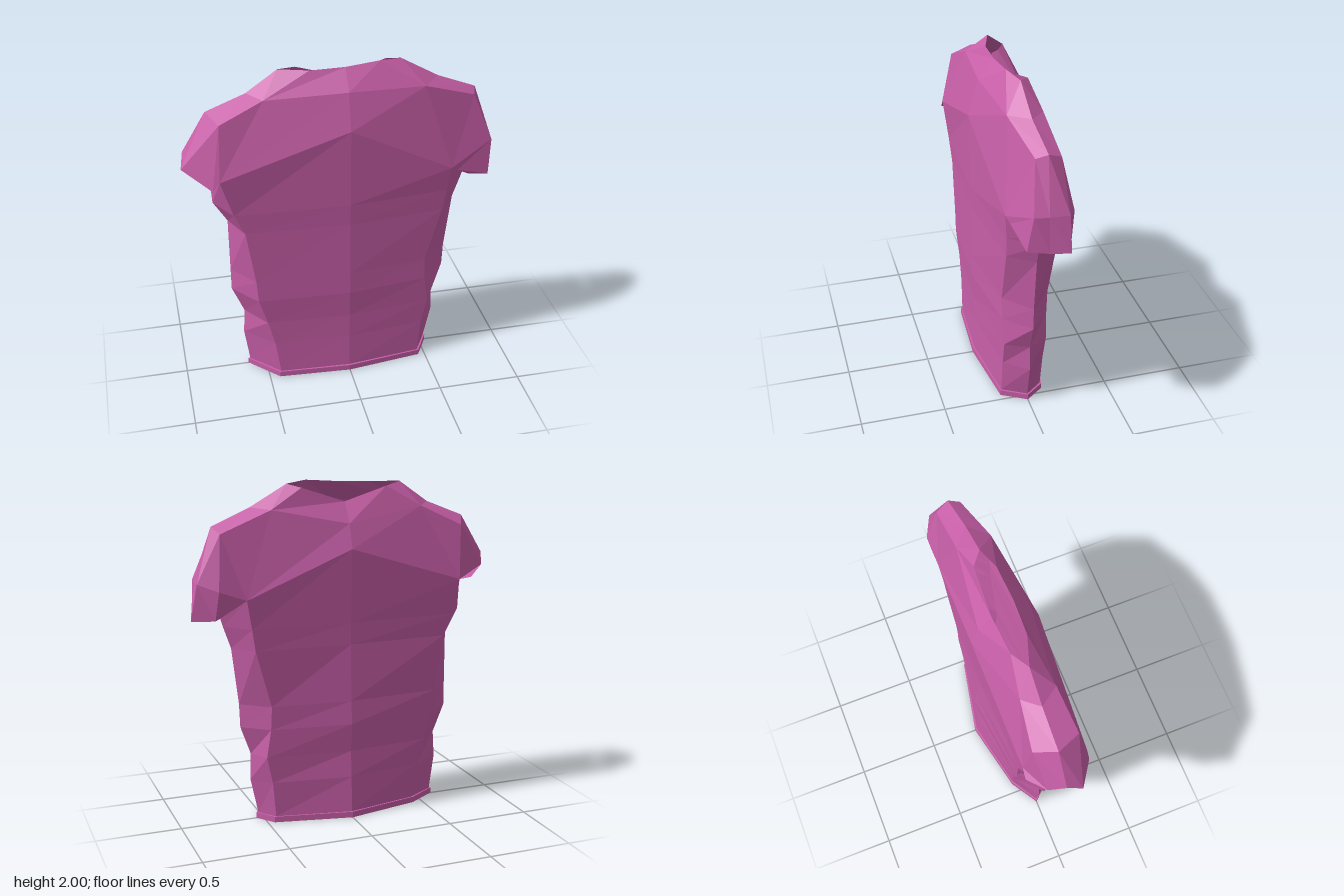
import * as THREE from 'three';

const v = (x, y, z) => new THREE.Vector3(x, y, z);
const pts = (list) => list.map((p) => v(...p));

// Joins neighbouring rows of points with quads; collapsed triangles are skipped.
function loft(rows, closed = false, extraTris = []) {
  const pos = [];
  const tri = (a, b, c) => {
    const area = b.clone().sub(a).cross(c.clone().sub(a)).length();
    if (area > 1e-6) for (const p of [a, b, c]) pos.push(p.x, p.y, p.z);
  };
  for (let r = 0; r < rows.length - 1; r++) {
    const lo = rows[r], hi = rows[r + 1], n = lo.length;
    for (let i = 0; i < (closed ? n : n - 1); i++) {
      const j = (i + 1) % n;
      tri(lo[i], lo[j], hi[j]);
      tri(lo[i], hi[j], hi[i]);
    }
  }
  for (const t of extraTris) tri(...t);
  const g = new THREE.BufferGeometry();
  g.setAttribute('position', new THREE.Float32BufferAttribute(pos, 3));
  g.computeVertexNormals();
  return g;
}

export function createModel() {
  const group = new THREE.Group();
  group.name = 'shirt';
  const cloth = new THREE.MeshStandardMaterial({
    color: 0xc85fa8, flatShading: true, side: THREE.DoubleSide,
  });
  const add = (name, geometry) => {
    const m = new THREE.Mesh(geometry, cloth);
    m.name = name;
    group.add(m);
  };

  // Torso rings: y, right side, right crease, left crease, left side, front z, back z
  const torso = [
    [0.035, -0.60, -0.43, 0.45, 0.53, 0.195, -0.19],
    [0.25, -0.63, -0.46, 0.47, 0.575, 0.19, -0.18],
    [0.41, -0.62, -0.50, 0.505, 0.57, 0.19, -0.17],
    [0.58, -0.69, -0.55, 0.48, 0.63, 0.20, -0.185],
    [0.72, -0.69, -0.56, 0.475, 0.635, 0.20, -0.175],
    [1.06, -0.69, -0.61, 0.57, 0.675, 0.20, -0.165],
    [1.19, -0.77, -0.67, 0.59, 0.72, 0.205, -0.168],
  ];
  const rings = torso.map(([y, r, rc, lc, l, f, b]) => {
    const backCrease = -0.1 - 0.04 * y;
    return pts([
      [r, y, 0], [rc, y, f * 0.88], [0, y, f], [lc, y, f * 0.72],
      [l, y, 0], [lc, y, backCrease], [0, y, b], [rc, y, backCrease],
    ]);
  });

  // Chest line: right cuff, shoulder, upper, centre, upper, shoulder, elbow, left cuff
  const frontLow = pts([
    [-0.78, 1.37, 0.20], [-0.74, 1.42, 0.20], [-0.74, 1.42, 0.20], [0, 1.66, 0.21],
    [0.61, 1.34, 0.16], [0.61, 1.34, 0.16], [0.65, 1.315, 0.145], [0.74, 1.255, 0.10],
  ]);
  const frontHigh = pts([
    [-0.94, 1.47, 0.09], [-0.72, 1.74, 0.14], [-0.47, 1.85, 0.11], [0, 1.87, 0.15],
    [0.45, 1.85, 0.11], [0.76, 1.74, 0.045], [0.87, 1.46, 0.08], [0.85, 1.25, 0.11],
  ]);
  const backHigh = pts([
    [-0.88, 1.47, -0.09], [-0.72, 1.72, -0.12], [-0.47, 1.84, -0.09], [0, 1.76, -0.14],
    [0.45, 1.85, -0.09], [0.75, 1.73, -0.10], [0.89, 1.46, -0.11], [0.93, 1.255, -0.11],
  ]);
  const backLow = pts([
    [-0.77, 1.41, -0.17], [-0.70, 1.40, -0.16], [-0.70, 1.40, -0.16], [0, 1.62, -0.185],
    [0.62, 1.36, -0.16], [0.62, 1.36, -0.16], [0.78, 1.42, -0.168], [0.80, 1.255, -0.15],
  ]);
  const underarmR = v(-0.78, 1.37, 0), underarmL = v(0.74, 1.255, 0);

  // Torso up to the chest line, running under the arms
  rings.push([
    underarmR, frontLow[1], frontLow[3], frontLow[4],
    underarmL, backLow[4], backLow[3], backLow[1],
  ]);
  add('torso', loft(rings, true));

  // Hem band standing slightly proud of the torso
  const base = rings[0];
  const hemRing = (grow, y) => base.map((p) => {
    const d = v(p.x * 0.4, 0, p.z).normalize().multiplyScalar(grow);
    return v(p.x + d.x, y, p.z + d.z);
  });
  add('hem', loft([hemRing(-0.008, 0), hemRing(0.012, 0), hemRing(0.012, 0.035), base], true));

  // Shoulder ridge, opening into the neck hole
  const ridge = (neck) => pts([
    [-0.92, 1.535, 0], [-0.78, 1.765, 0], [-0.55, 1.855, 0], [-0.37, 1.98, 0],
    ...neck,
    [0.33, 1.985, 0], [0.55, 1.86, 0], [0.78, 1.765, -0.02], [0.885, 1.46, 0], [0.895, 1.25, 0],
  ]);
  const frontNeck = ridge([[-0.2, 1.98, 0.055], [0, 1.985, 0.06], [0.2, 2.0, 0.045]]);
  const backNeck = ridge([[-0.26, 1.96, -0.06], [0, 1.88, -0.065], [0.26, 1.965, -0.06]]);

  // Upper points fan out to the neck corners
  const fan = (row) => [0, 1, 2, 2, 2, 3, 4, 4, 4, 5, 6, 7].map((i) => row[i]);

  // Yoke and sleeves, with small gussets closing the sleeves at the underarms
  add('frontYokeAndSleeves', loft([fan(frontLow), fan(frontHigh), frontNeck], false, [
    [frontLow[1], frontLow[0], underarmR],
    [frontLow[4], underarmL, frontLow[7]],
  ]));
  add('backYokeAndSleeves', loft([backNeck, fan(backHigh), fan(backLow)], false, [
    [backLow[1], underarmR, backLow[0]],
    [backLow[4], backLow[7], underarmL],
    [backLow[4], backLow[6], backLow[7]],
  ]));

  return group;
}
